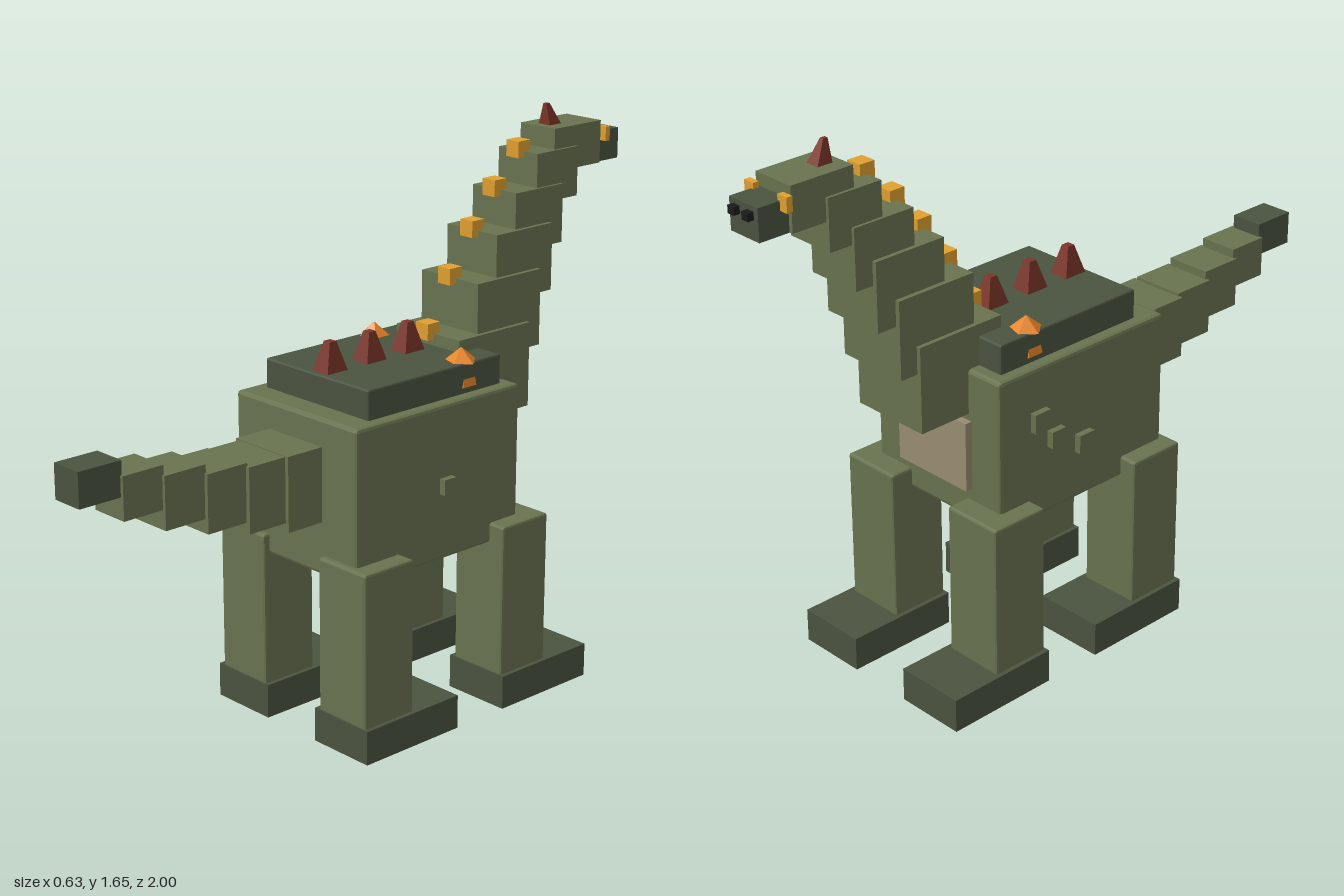
import * as THREE from 'three';
import { RoundedBoxGeometry } from 'three/addons/geometries/RoundedBoxGeometry.js';

const mat = (color) => new THREE.MeshStandardMaterial({ color, flatShading: true });

export function createModel() {
  const model = new THREE.Group();
  model.name = 'longNeckDinosaur';

  const hide = mat(0x68734f);
  const dark = mat(0x4b5340);
  const amber = mat(0xe0a030);
  const orange = mat(0xe88424);
  const rust = mat(0x7a3528);
  const chestTan = mat(0x9a8c70);
  const bellyBrown = mat(0x7d6a50);
  const black = mat(0x1c1c1c);

  const add = (name, geometry, material, x = 0, y = 0, z = 0) => {
    const mesh = new THREE.Mesh(geometry, material);
    mesh.name = name;
    mesh.position.set(x, y, z);
    model.add(mesh);
    return mesh;
  };

  // Box given by its limits; a bevel rounds the edges slightly
  const box = (name, material, [x0, x1], [y0, y1], [z0, z1], bevel = 0) => {
    const size = [x1 - x0, y1 - y0, z1 - z0];
    const geometry = bevel
      ? new RoundedBoxGeometry(...size, 1, bevel)
      : new THREE.BoxGeometry(...size);
    return add(name, geometry, material, (x0 + x1) / 2, (y0 + y1) / 2, (z0 + z1) / 2);
  };

  // Four-sided blunt spike standing on y = 0, its tip moved by lean along z
  const spike = (baseX, baseZ, topX, topZ, height, lean = 0) => {
    const geometry = new THREE.BoxGeometry(2, height, 2);
    const p = geometry.attributes.position;
    for (let i = 0; i < p.count; i++) {
      const top = p.getY(i) > 0;
      p.setXYZ(i, p.getX(i) * (top ? topX : baseX), top ? height : 0,
        p.getZ(i) * (top ? topZ : baseZ) + (top ? lean : 0));
    }
    geometry.computeVertexNormals();
    return geometry;
  };

  // Body with back plate, chest and belly panels
  box('body', hide, [-0.245, 0.245], [0.49, 0.94], [-0.38, 0.24], 0.01);
  box('backPlate', dark, [-0.208, 0.208], [0.93, 1.025], [-0.34, 0.163], 0.005);
  box('chestPanel', chestTan, [-0.135, 0.135], [0.585, 0.79], [-0.402, -0.37]);
  box('bellyPanel', bellyBrown, [-0.2, 0.2], [0.477, 0.5], [-0.32, 0.18]);

  // Raised hide scales on the flanks: side, y, z, size
  for (const [side, y, z, size] of [
    [1, 0.708, -0.093, 0.045], [-1, 0.787, -0.24, 0.056],
    [-1, 0.715, -0.18, 0.05], [-1, 0.662, -0.073, 0.055],
  ]) {
    add('flankScale', new THREE.BoxGeometry(0.025, size, size), hide, side * 0.252, y, z);
  }

  // Legs and long feet, mirrored
  for (const side of [-1, 1]) {
    const span = (a, b) => (side > 0 ? [a, b] : [-b, -a]);
    for (const [label, z0, z1] of [['front', -0.45, -0.27], ['hind', 0.08, 0.26]]) {
      box(label + 'Leg', hide, span(0.113, 0.3), [0.09, 0.55], [z0, z1], 0.007);
      box(label + 'Foot', dark, span(0.1, 0.313), [0, 0.1], [z1 - 0.343, z1 + 0.005]);
    }
  }

  // Stepped neck, head and snout: half width, y limits, z limits
  const neck = [
    [0.125, 0.81, 1.06, -0.545, -0.26],
    [0.112, 0.98, 1.205, -0.6, -0.345],
    [0.098, 1.13, 1.328, -0.66, -0.432],
    [0.085, 1.26, 1.432, -0.715, -0.52],
    [0.076, 1.385, 1.53, -0.785, -0.615],
  ];
  for (const [w, y0, y1, z0, z1] of neck) {
    box('neckSegment', hide, [-w, w], [y0, y1], [z0, z1]);
    add('neckStud', new THREE.BoxGeometry(0.048, 0.048, 0.048), amber, 0, y1 + 0.007, z1);
  }
  box('head', hide, [-0.067, 0.067], [1.465, 1.59], [-0.89, -0.695]);
  box('snout', dark, [-0.055, 0.055], [1.465, 1.555], [-0.982, -0.885]);
  add('headHorn', spike(0.022, 0.024, 0.006, 0.007, 0.063, 0.017), rust, 0, 1.588, -0.746);

  // Eyes and nostrils
  for (const side of [-1, 1]) {
    add('eye', new THREE.BoxGeometry(0.035, 0.042, 0.018), amber, side * 0.064, 1.55, -0.906);
    add('nostril', new THREE.BoxGeometry(0.024, 0.022, 0.025), black, side * 0.027, 1.531, -0.988);
  }

  // Tapering tail, rising to a dark tip
  const tail = [
    [0.107, 0.645, 0.86, 0.22, 0.36],
    [0.095, 0.67, 0.857, 0.35, 0.485],
    [0.082, 0.7, 0.866, 0.48, 0.615],
    [0.07, 0.74, 0.89, 0.61, 0.745],
    [0.06, 0.795, 0.917, 0.74, 0.87],
    [0.05, 0.858, 0.957, 0.865, 1],
  ];
  tail.forEach(([w, y0, y1, z0, z1], i) => {
    const tip = i === tail.length - 1;
    box(tip ? 'tailTip' : 'tailSegment', tip ? dark : hide, [-w, w], [y0, y1], [z0, z1]);
  });

  // Row of spikes on the back plate
  for (const z of [0.112, -0.034, -0.18]) {
    add('backSpike', spike(0.032, 0.038, 0.012, 0.012, 0.087), rust, 0, 1.021, z);
  }

  // Five-sided shoulder crystals: flat cap over a flared stem
  for (const side of [-1, 1]) {
    const turn = side * Math.PI / 2;
    const cap = add('shoulderCrystalCap', new THREE.ConeGeometry(0.047, 0.04, 5), orange, side * 0.175, 1.043, -0.217);
    const stem = add('shoulderCrystalStem', new THREE.CylinderGeometry(0.028, 0.043, 0.075, 5), orange, side * 0.177, 0.994, -0.217);
    cap.rotation.y = turn;
    stem.rotation.y = turn + Math.PI / 5;
  }

  return model;
}
